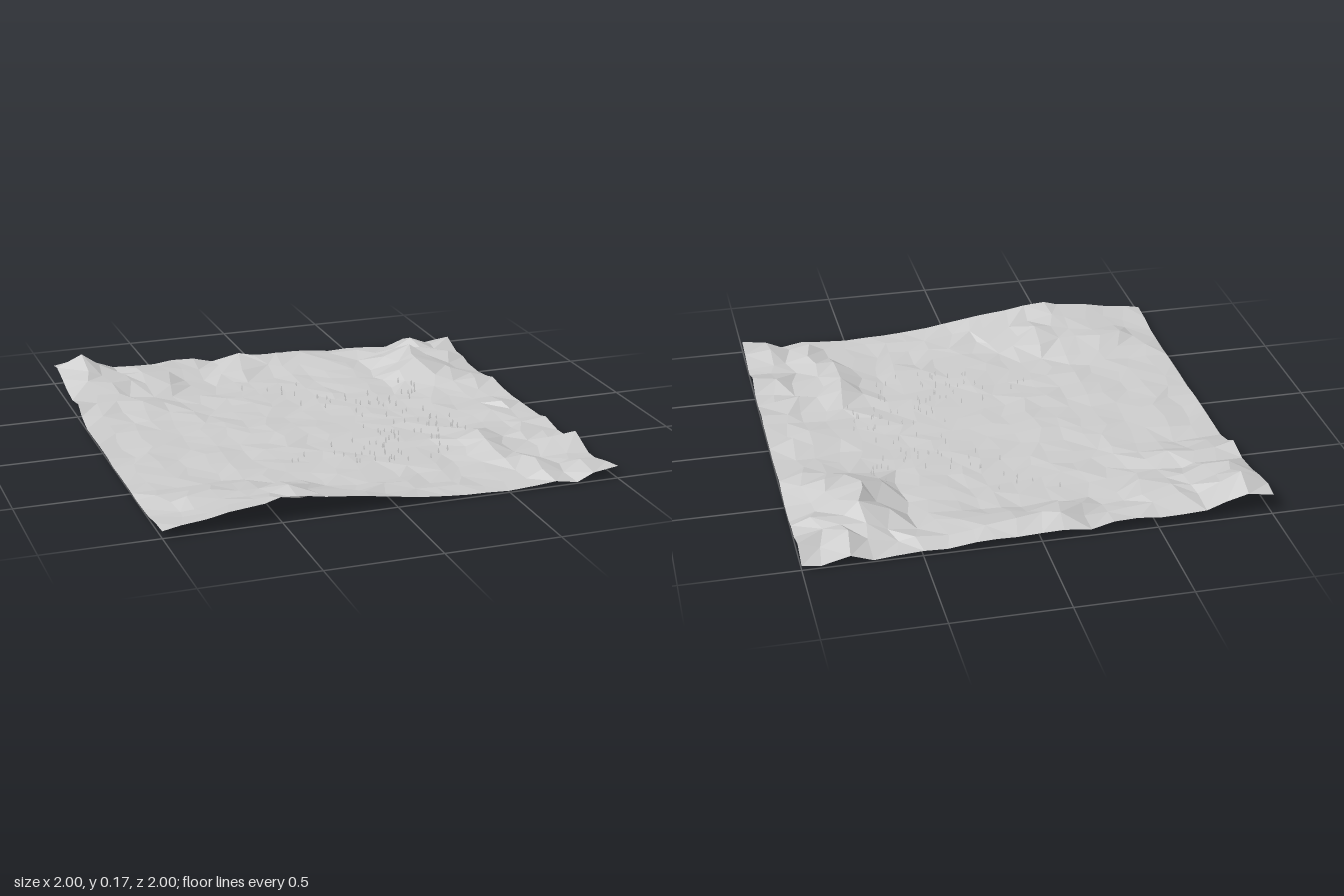
import * as THREE from 'three';

const N = 20; // grid cells per side
const BASE = 0.012; // height of the valley floor

// Ridges: x1, z1, x2, z2, height1, height2, reach
const RIDGES = [
  // front rim
  [-1, 1, -0.5, 1, 0.03, 0.115, 0.3],
  [-0.5, 1, 0.2, 1, 0.115, 0.03, 0.25],
  [-0.8, 0.7, -0.4, 0.8, 0.06, 0.08, 0.2],
  // back left peak and its shoulders
  [-0.9, -0.9, -0.9, -0.9, 0.165, 0.165, 0.3],
  [-0.9, -0.7, -0.6, -0.8, 0.1, 0.09, 0.25],
  [-1, -0.5, -0.7, -0.5, 0.07, 0.05, 0.2],
  // back rim
  [-0.6, -0.9, -0.3, -1, 0.08, 0.06, 0.2],
  [-0.1, -0.9, 0.3, -0.9, 0.085, 0.055, 0.2],
  [0.3, -0.8, 0.5, -0.9, 0.05, 0.04, 0.15],
  // back right ridge
  [0.7, -0.7, 0.7, -0.5, 0.115, 0.11, 0.2],
  [0.7, -0.5, 0.9, -0.3, 0.11, 0.045, 0.2],
  [0.8, -0.9, 0.9, -0.7, 0.09, 0.065, 0.15],
  [1, -0.9, 1, -0.9, 0.06, 0.06, 0.15],
  // right rim and front right crags
  [0.9, 0, 0.8, 0.1, 0.04, 0.035, 0.12],
  [0.6, 0.4, 0.6, 0.7, 0.065, 0.04, 0.13],
  [0.8, 0.4, 1, 0.3, 0.035, 0.04, 0.13],
  [0.7, 0.9, 0.7, 0.7, 0.055, 0.045, 0.13],
  [0.9, 0.6, 1, 0.6, 0.055, 0.07, 0.12],
  [0.9, 0.9, 1, 1, 0.065, 0.06, 0.15],
];

// Tree groves: x, z, half width, half depth, count
const GROVES = [
  [0.02, -0.52, 0.2, 0.08, 6],
  [0.08, -0.3, 0.08, 0.1, 6],
  [0.4, -0.22, 0.2, 0.2, 28],
  [0.5, 0.17, 0.12, 0.12, 18],
  [0.28, 0.16, 0.1, 0.12, 10],
  [0.3, 0.42, 0.17, 0.14, 16],
  [0.06, 0.4, 0.12, 0.16, 18],
  [-0.25, 0.38, 0.1, 0.08, 3],
];

function seeded(seed) {
  return () => {
    seed = (seed * 16807) % 2147483647;
    return seed / 2147483647;
  };
}

function heightAt(x, z) {
  let top = 0;
  for (const [x1, z1, x2, z2, h1, h2, reach] of RIDGES) {
    const dx = x2 - x1, dz = z2 - z1;
    const len2 = dx * dx + dz * dz || 1;
    const t = THREE.MathUtils.clamp(((x - x1) * dx + (z - z1) * dz) / len2, 0, 1);
    const d = Math.hypot(x - x1 - t * dx, z - z1 - t * dz);
    const h = THREE.MathUtils.lerp(h1, h2, t) - BASE;
    top = Math.max(top, h * Math.max(0, 1 - d / reach));
  }
  return BASE + top;
}

// Faceted open sheet on a jittered grid
function buildTerrain(material) {
  const random = seeded(4711);
  const jitter = () => (random() - 0.5) * 0.055;
  const positions = [], index = [];
  for (let j = 0; j <= N; j++) {
    for (let i = 0; i <= N; i++) {
      const x = (i / N) * 2 - 1, z = (j / N) * 2 - 1;
      const jx = jitter(), jz = jitter();
      const y = heightAt(x, z) + (random() - 0.5) * 0.013;
      positions.push(i % N ? x + jx : x, y, j % N ? z + jz : z);
    }
  }
  for (let j = 0; j < N; j++) {
    for (let i = 0; i < N; i++) {
      const a = j * (N + 1) + i, b = a + N + 1, c = a + 1, d = b + 1;
      if (random() < 0.5) index.push(a, b, c, c, b, d);
      else index.push(a, b, d, a, d, c);
    }
  }
  const geometry = new THREE.BufferGeometry();
  geometry.setAttribute('position', new THREE.Float32BufferAttribute(positions, 3));
  geometry.setIndex(index);
  geometry.computeVertexNormals();
  const mesh = new THREE.Mesh(geometry, material);
  mesh.name = 'terrain';
  return mesh;
}

// Thin conifer cutout, facing sideways
function treeGeometry() {
  const shape = new THREE.Shape();
  shape.moveTo(-0.0015, 0);
  shape.lineTo(0.0015, 0);
  shape.lineTo(0.0015, 0.006);
  shape.lineTo(0.007, 0.006);
  shape.lineTo(0, 0.024);
  shape.lineTo(-0.007, 0.006);
  shape.lineTo(-0.0015, 0.006);
  const geometry = new THREE.ExtrudeGeometry(shape, { depth: 0.003, bevelEnabled: false });
  return geometry.translate(0, 0, -0.0015).rotateY(Math.PI / 2);
}

export function createModel() {
  const model = new THREE.Group();
  model.name = 'landscape';
  const material = new THREE.MeshStandardMaterial({
    color: 0xcccccc, flatShading: true, side: THREE.DoubleSide,
  });
  const terrain = buildTerrain(material);
  model.add(terrain);

  // Trees stand on the ground below them
  const forest = new THREE.Group();
  forest.name = 'forest';
  const geometry = treeGeometry();
  const random = seeded(99);
  const ray = new THREE.Raycaster();
  const down = new THREE.Vector3(0, -1, 0);
  terrain.updateMatrixWorld();
  for (const [cx, cz, rx, rz, count] of GROVES) {
    for (let k = 0; k < count; k++) {
      const x = cx + (random() * 2 - 1) * rx;
      const z = cz + (random() * 2 - 1) * rz;
      ray.set(new THREE.Vector3(x, 1, z), down);
      const hit = ray.intersectObject(terrain)[0];
      const tree = new THREE.Mesh(geometry, material);
      tree.name = 'tree';
      tree.position.set(x, (hit ? hit.point.y : BASE) - 0.002, z);
      tree.scale.setScalar(0.85 + random() * 0.3);
      forest.add(tree);
    }
  }
  model.add(forest);
  return model;
}
